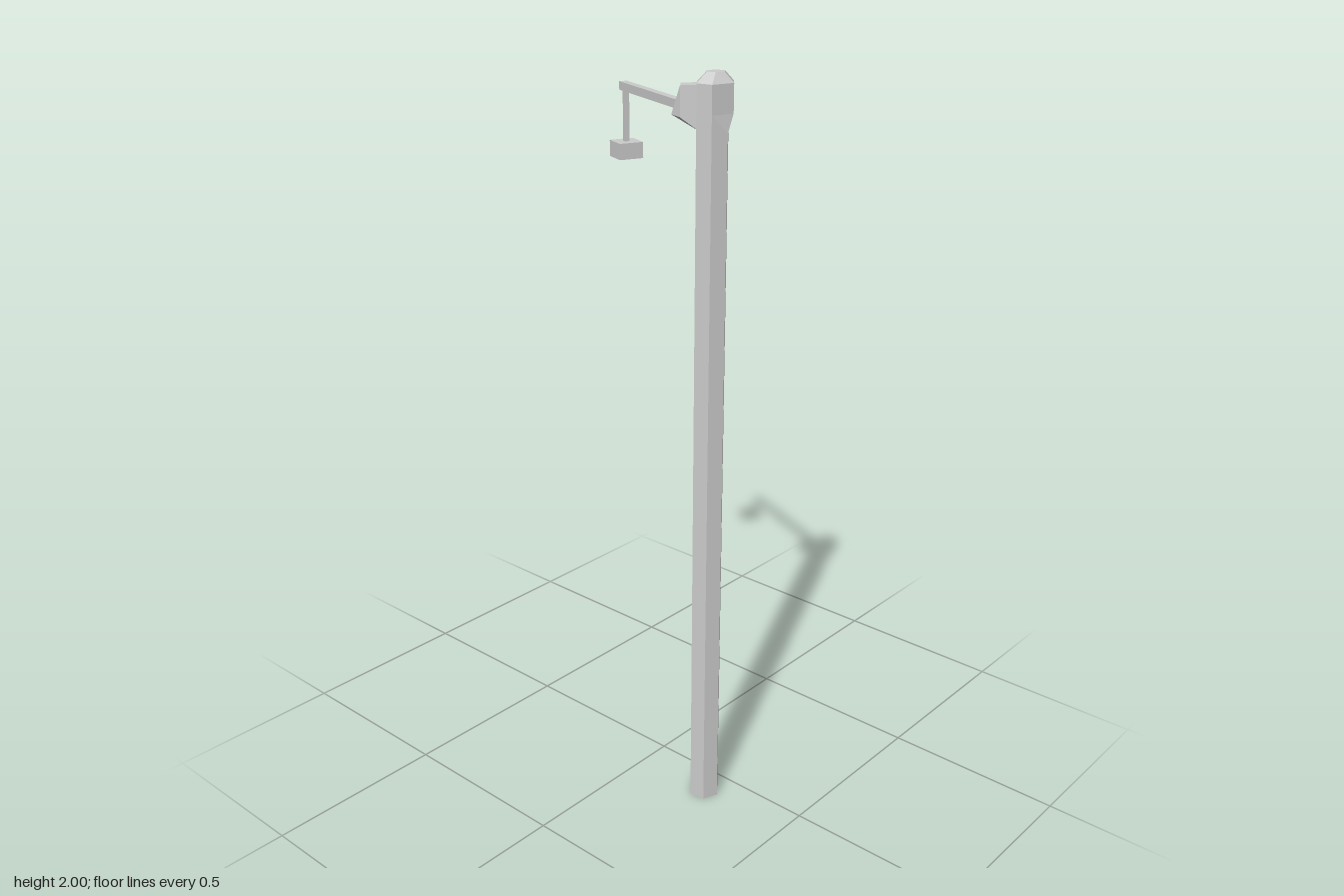
import * as THREE from 'three';
import { ConvexGeometry } from 'three/addons/geometries/ConvexGeometry.js';

const material = new THREE.MeshStandardMaterial({ color: 0xcccccc, flatShading: true });

function part(parent, name, geometry, x = 0, y = 0, z = 0) {
  const mesh = new THREE.Mesh(geometry, material);
  mesh.name = name;
  mesh.position.set(x, y, z);
  parent.add(mesh);
  return mesh;
}

// Skin over stacked rings of [x, y, z] points, capped at both ends
function loft(rings) {
  const n = rings[0].length, pos = [];
  const tri = (...points) => points.forEach((p) => pos.push(...p));
  const middle = (ring) => [0, 1, 2].map((k) => ring.reduce((s, p) => s + p[k], 0) / n);
  const first = rings[0], last = rings[rings.length - 1];
  for (let j = 0; j < n; j++) {
    const k = (j + 1) % n;
    for (let i = 0; i < rings.length - 1; i++) {
      const a = rings[i], b = rings[i + 1];
      tri(a[j], b[j], b[k]);
      tri(a[j], b[k], a[k]);
    }
    tri(middle(first), first[j], first[k]);
    tri(middle(last), last[k], last[j]);
  }
  const geometry = new THREE.BufferGeometry();
  geometry.setAttribute('position', new THREE.Float32BufferAttribute(pos, 3));
  geometry.computeVertexNormals();
  return geometry;
}

// Six-sided ring; bulge pushes the two rear corners outwards
function hexRing(y, radius, bulge = 0, dx = 0, dz = 0) {
  return Array.from({ length: 6 }, (_, i) => {
    const a = THREE.MathUtils.degToRad(-7.5 + 60 * i);
    const rear = i === 0 || i === 5 ? bulge : 0;
    return [
      radius * Math.cos(a) + dx + (i === 0 ? 0.15 * rear : 0),
      y,
      radius * Math.sin(a) + dz - rear,
    ];
  });
}

// Solid that tapers between rectangles given as [x, bottom, top, width]
function wedge(sections) {
  const points = [];
  for (const [x, bottom, top, width] of sections)
    for (const y of [bottom, top])
      for (const side of [-1, 1]) points.push(new THREE.Vector3(x, y, side * width / 2));
  return points;
}

export function createModel() {
  const model = new THREE.Group();
  model.name = 'hangingPost';
  const post = new THREE.Group();
  post.name = 'post';
  post.position.set(0.225, 0, 0.083);
  model.add(post);

  // Hexagonal pole and its faceted head
  part(post, 'pole', loft([hexRing(0, 0.043), hexRing(1.86, 0.043)]));
  part(post, 'head', loft([
    hexRing(1.86, 0.043),
    hexRing(1.905, 0.043, 0.017),
    hexRing(1.975, 0.043, 0.017),
    hexRing(2, 0.024, 0, 0.003, -0.007),
  ]));

  // Pointed block on the front face of the head
  const nose = wedge([[0.03, 1.865, 1.972, 0.042], [0.0755, 1.897, 1.97, 0.042]]);
  nose.push(new THREE.Vector3(0.097, 1.9, 0));
  part(post, 'nose', new ConvexGeometry(nose)).rotation.y = THREE.MathUtils.degToRad(-142.5);

  // Side arm with a flared root, drop rod and hanging block
  const arm = new THREE.Group();
  arm.name = 'armAssembly';
  arm.rotation.y = THREE.MathUtils.degToRad(-202.7);
  post.add(arm);
  part(arm, 'armRoot', new ConvexGeometry(
    wedge([[0.03, 1.845, 1.94, 0.023], [0.064, 1.889, 1.912, 0.023]])));
  part(arm, 'arm', new THREE.BoxGeometry(0.482, 0.022, 0.022), 0.269, 1.901, 0);
  part(arm, 'dropRod', new THREE.BoxGeometry(0.013, 0.145, 0.013), 0.492, 1.823, 0);
  part(arm, 'hangingBlock', new THREE.BoxGeometry(0.066, 0.043, 0.068), 0.492, 1.736, 0);

  return model;
}
